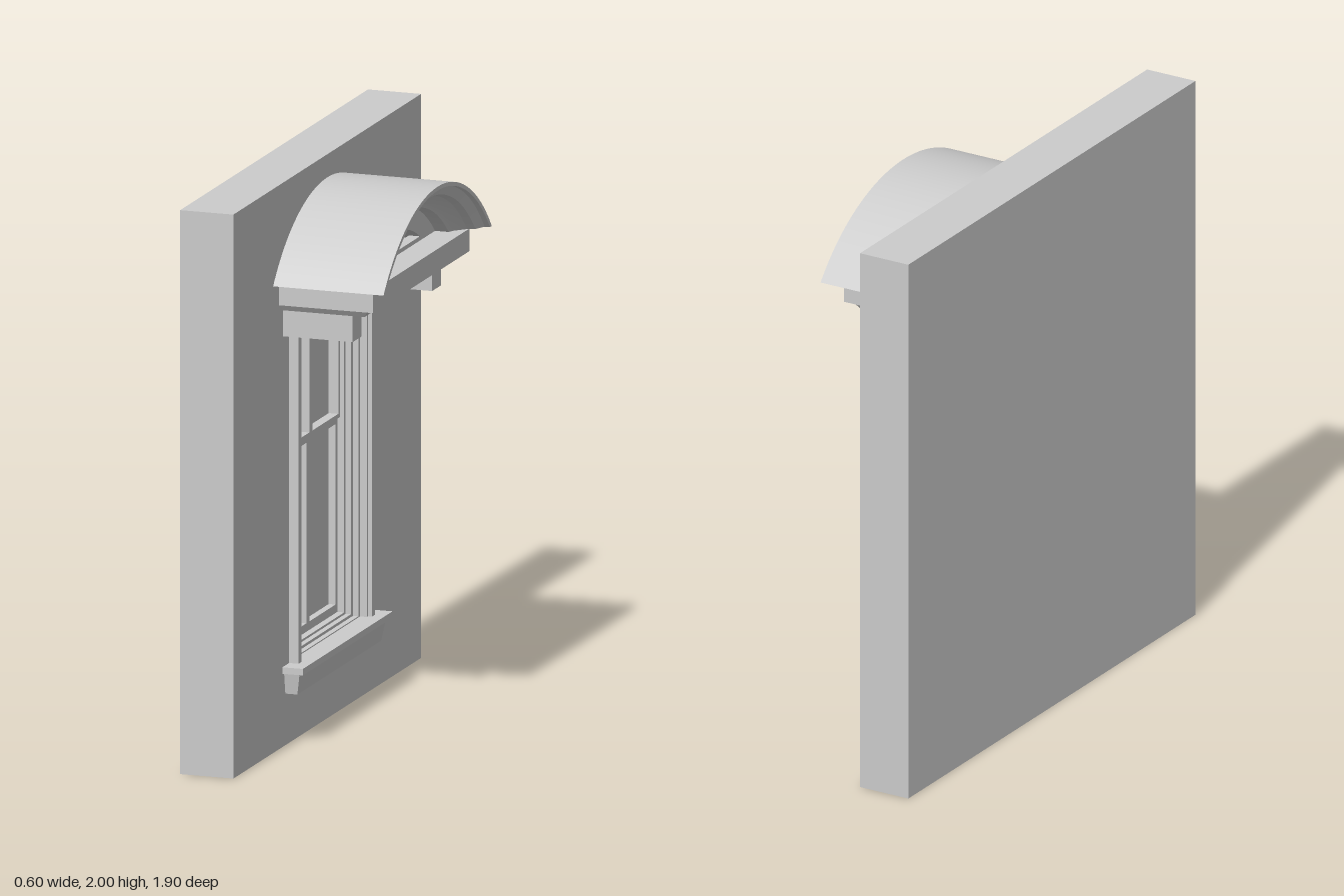
import * as THREE from 'three';
import { toCreasedNormals } from 'three/addons/utils/BufferGeometryUtils.js';

const WALL = -0.105; // outer face of the wall
const material = new THREE.MeshStandardMaterial({ color: 0xcccccc });

export function createModel() {
  const model = new THREE.Group();
  // Built facing +z, then turned so that the window looks along +x
  const facade = new THREE.Group();
  facade.name = 'facade';
  facade.rotation.y = Math.PI / 2;
  model.add(facade);

  const add = (name, geometry) => {
    const mesh = new THREE.Mesh(geometry, material);
    mesh.name = name;
    facade.add(mesh);
    return mesh;
  };

  // Box given by its limits
  const box = (name, x0, x1, y0, y1, z0, z1) => {
    const g = new THREE.BoxGeometry(x1 - x0, y1 - y0, z1 - z0);
    g.translate((x0 + x1) / 2, (y0 + y1) / 2, (z0 + z1) / 2);
    return add(name, g);
  };

  // Centred ledge on the wall; its underside is drawn in by an inset at front and sides
  const ledge = (name, half, y0, y1, front, inset = 0) => {
    const mesh = box(name, -half, half, y0, y1, WALL, front);
    const p = mesh.geometry.attributes.position;
    for (let i = 0; i < p.count; i++) {
      if (p.getY(i) > (y0 + y1) / 2) continue;
      p.setX(i, p.getX(i) - Math.sign(p.getX(i)) * inset);
      if (p.getZ(i) > (WALL + front) / 2) p.setZ(i, front - inset);
    }
    mesh.geometry.computeVertexNormals();
  };

  // Plate with rectangular holes; rectangles are [x0, x1, y0, y1]
  const trace = (path, [x0, x1, y0, y1]) =>
    path.moveTo(x0, y0).lineTo(x1, y0).lineTo(x1, y1).lineTo(x0, y1).closePath();
  const plate = (name, outer, holes, back, front) => {
    const shape = trace(new THREE.Shape(), outer);
    shape.holes = holes.map((h) => trace(new THREE.Path(), h));
    const g = new THREE.ExtrudeGeometry(shape, { depth: front - back, bevelEnabled: false });
    add(name, g.translate(0, 0, back));
  };

  // Wall with a blind window opening
  box('wallBack', -0.95, 0.95, 0, 2, -0.3, -0.25);
  plate('wall', [-0.95, 0.95, 0, 2], [[-0.36, 0.36, 0.283, 1.455]], -0.25, WALL);

  // Stepped window frame: half width, bottom, top of each step, and its front
  const steps = [
    [0.36, 0.275, 1.455, -0.085],
    [0.345, 0.283, 1.445, -0.11],
    [0.33, 0.287, 1.43, -0.13],
    [0.31, 0.297, 1.412, -0.15],
    [0.295, 0.305, 1.4, 0],
  ];
  const rect = ([w, y0, y1]) => [-w, w, y0, y1];
  for (let i = 0; i < 4; i++) {
    plate('frameStep', rect(steps[i]), [rect(steps[i + 1])], -0.25, steps[i][3]);
  }

  // Sashes with two panes each
  const sash = (name, y0, y1, p0, p1, front) =>
    plate(name, [-0.295, 0.295, y0, y1],
      [[-0.277, -0.016, p0, p1], [0.016, 0.277, p0, p1]], -0.22, front);
  sash('upperSash', 0.997, 1.4, 1.012, 1.375, -0.165);
  sash('lowerSash', 0.305, 0.997, 0.335, 0.975, -0.175);
  box('glass', -0.29, 0.29, 0.31, 1.39, -0.215, -0.2);

  // Side casings and brackets
  for (const s of [-1, 1]) {
    const mirrored = (name, a, b, ...rest) =>
      box(name, Math.min(s * a, s * b), Math.max(s * a, s * b), ...rest);
    mirrored('casing', 0.357, 0.386, 0.28, 1.55, WALL, -0.07);
    mirrored('bracket', 0.358, 0.446, 1.455, 1.55, WALL, 0.15);
  }

  // Frieze above the opening
  box('friezeLower', -0.357, 0.357, 1.455, 1.505, WALL, -0.075);
  box('friezeUpper', -0.357, 0.357, 1.505, 1.55, WALL, -0.06);

  // Sill and apron
  ledge('sill', 0.454, 0.26, 0.283, -0.03);
  ledge('apron', 0.437, 0.183, 0.26, -0.048, 0.013);

  // Cornice
  ledge('corniceBed', 0.475, 1.55, 1.575, 0.215, 0.018);
  ledge('cornice', 0.49, 1.575, 1.655, 0.24);
  box('pedimentRail', -0.4, 0.4, 1.655, 1.67, 0.1, 0.14);

  // Curved pediment: a moulding (radius, depth) swept on an arc and cut level at the base
  const centreY = 1.216, baseY = 1.655;
  const profile = [
    [0.524, WALL], [0.702, WALL], [0.702, 0.3], [0.688, 0.3], [0.688, 0.28], [0.655, 0.262],
    [0.648, 0.235], [0.62, 0.2], [0.604, 0.19], [0.604, 0.14], [0.524, 0.14],
  ].map(([r, d]) => new THREE.Vector2(r, d));
  const arch = new THREE.ExtrudeGeometry(new THREE.Shape(profile),
    { depth: 1, steps: 48, bevelEnabled: false });
  const p = arch.attributes.position;
  for (let i = 0; i < p.count; i++) {
    const r = p.getX(i), d = p.getY(i);
    const a = (2 * p.getZ(i) - 1) * Math.acos((baseY - centreY) / r);
    p.setXYZ(i, r * Math.sin(a), centreY + r * Math.cos(a), d);
  }
  add('archedPediment', toCreasedNormals(arch, 0.4));

  return model;
}
